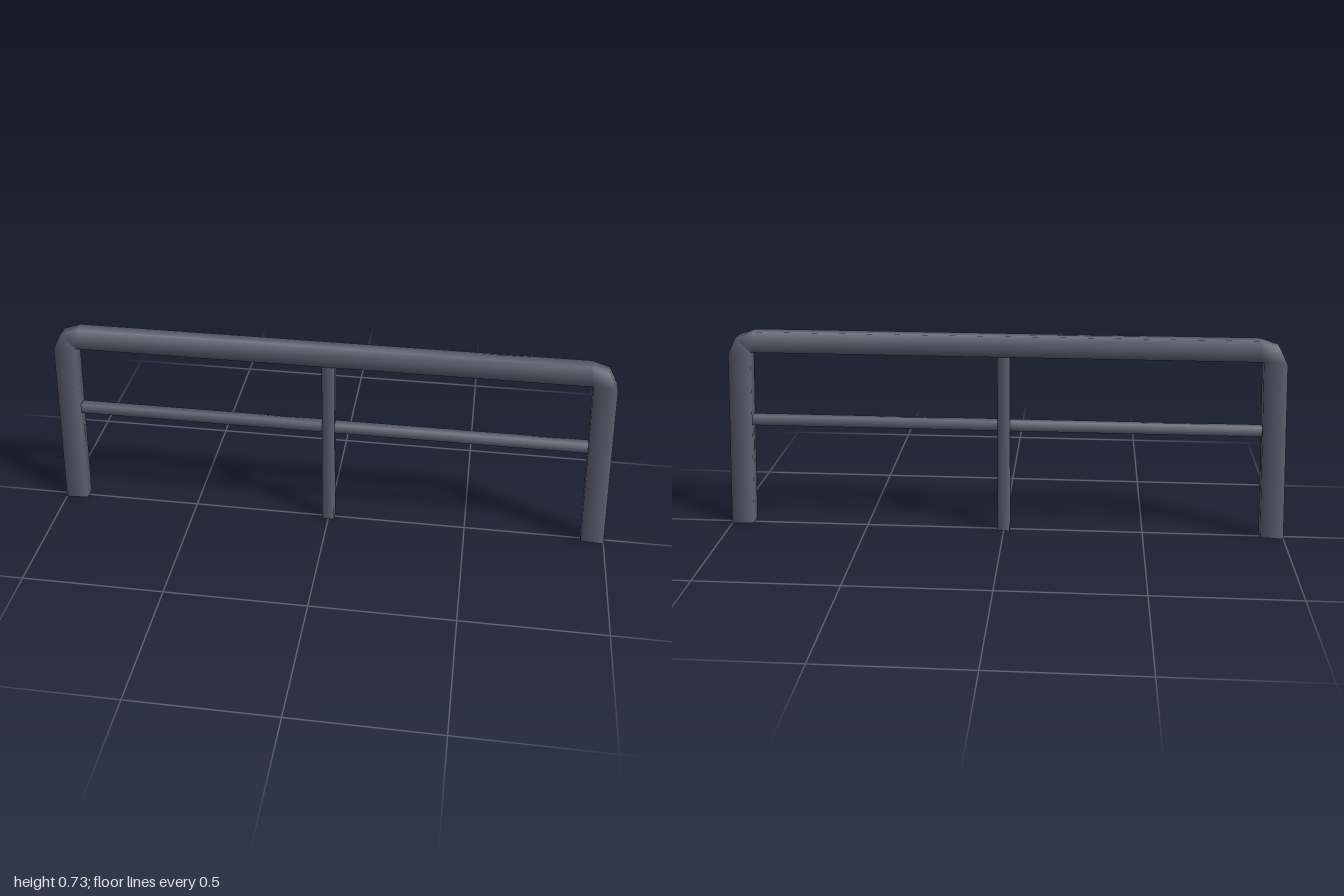
import * as THREE from 'three';

// Open four-sided bar, smooth shaded. Each section is [outerX, outerY, innerX, innerY].
function bar(name, sections, halfDepth, material) {
  const positions = [], normals = [], index = [];
  const corners = [[1, 1], [-1, 1], [-1, -1], [1, -1]]; // [outer or inner, z side]
  for (const [ox, oy, ix, iy] of sections) {
    const out = new THREE.Vector2(ox - ix, oy - iy).normalize();
    for (const [side, z] of corners) {
      positions.push(side > 0 ? ox : ix, side > 0 ? oy : iy, z * halfDepth);
      const n = new THREE.Vector3(out.x * side, out.y * side, z).normalize();
      normals.push(n.x, n.y, n.z);
    }
  }
  for (let s = 0; s < sections.length - 1; s++) {
    for (let k = 0; k < 4; k++) {
      const a = s * 4 + k, b = s * 4 + (k + 1) % 4;
      index.push(a, a + 4, b + 4, a, b + 4, b);
    }
  }
  const geometry = new THREE.BufferGeometry();
  geometry.setAttribute('position', new THREE.Float32BufferAttribute(positions, 3));
  geometry.setAttribute('normal', new THREE.Float32BufferAttribute(normals, 3));
  geometry.setIndex(index);
  const mesh = new THREE.Mesh(geometry, material);
  mesh.name = name;
  return mesh;
}

export function createModel() {
  const group = new THREE.Group();
  group.name = 'barrier';
  const steel = new THREE.MeshStandardMaterial({ color: 0x5c6070, side: THREE.DoubleSide });
  steel.name = 'slate steel';

  // Bent frame: splayed leg, chamfered corner, top bar, mirrored for the other side
  const half = [
    [1, 0, 0.918, 0.004],
    [0.966, 0.645, 0.886, 0.648],
    [0.935, 0.705, 0.885, 0.65],
    [0.875, 0.725, 0.882, 0.651],
  ];
  const mirrored = half.map(([ox, oy, ix, iy]) => [-ox, oy, -ix, iy]).reverse();
  group.add(bar('frame', [...half, ...mirrored], 0.0235, steel));

  // Middle post under the top bar
  group.add(bar('middlePost', [[0.022, 0, -0.022, 0], [0.022, 0.67, -0.022, 0.67]], 0.02, steel));

  // Cross rails on either side of the post
  group.add(bar('leftRail', [[0.91, 0.416, 0.91, 0.381], [0.01, 0.416, 0.01, 0.381]], 0.016, steel));
  group.add(bar('rightRail', [[-0.01, 0.416, -0.01, 0.381], [-0.91, 0.416, -0.91, 0.381]], 0.016, steel));
  return group;
}
